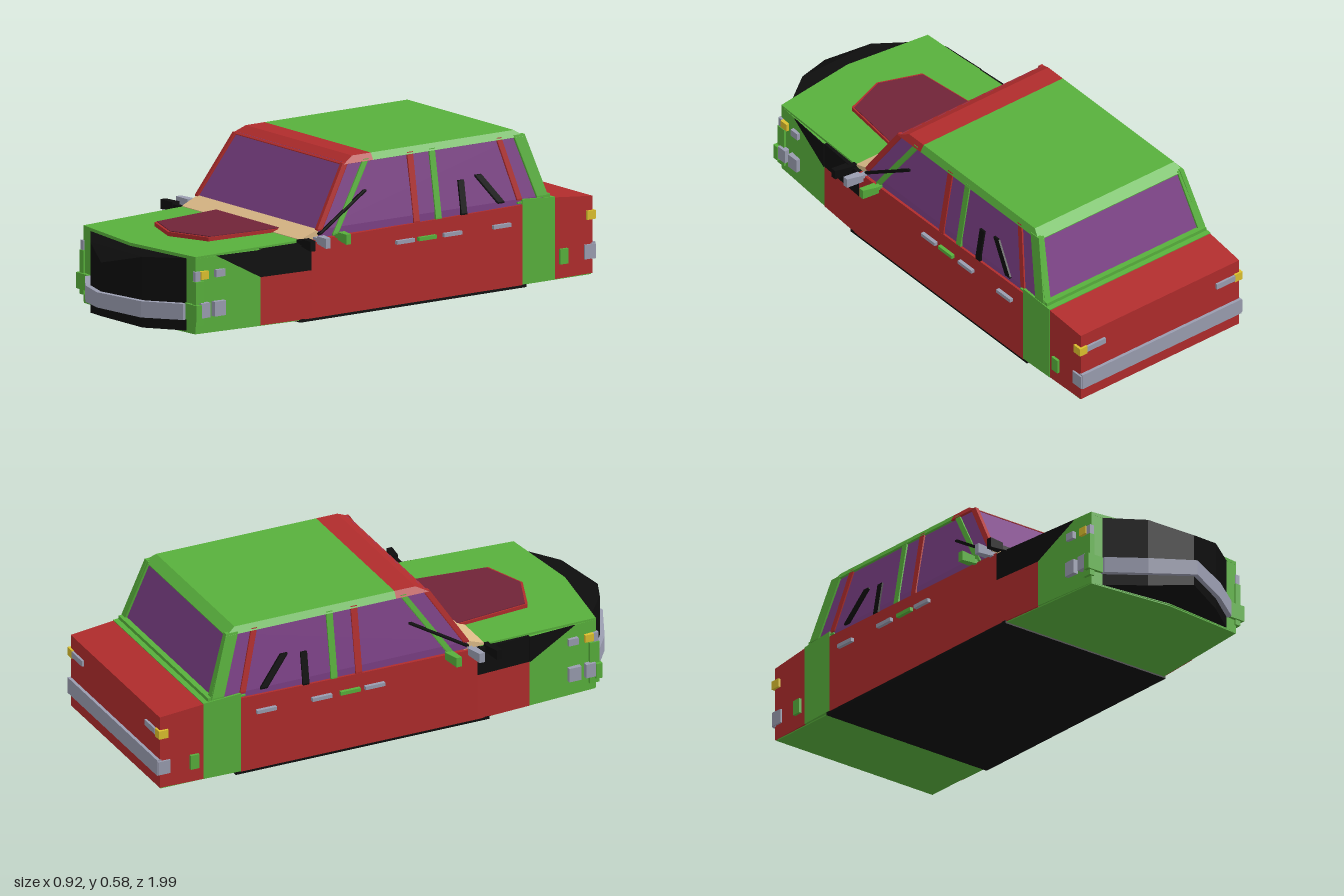
import * as THREE from 'three';
import { ConvexGeometry } from 'three/addons/geometries/ConvexGeometry.js';

const paint = (name, color) => Object.assign(new THREE.MeshStandardMaterial({ color }), { name });

export function createModel() {
  const car = new THREE.Group();
  car.name = 'car';
  const green = paint('green', 0x58b03c), red = paint('red', 0xb02c2c), black = paint('black', 0x0d0d0d);
  const purple = paint('purple glass', 0x7c4086), grey = paint('grey trim', 0x9a9db0);
  const tan = paint('tan', 0xdcba88), maroon = paint('maroon', 0x702438), yellow = paint('yellow', 0xdcc02e);

  const hull = (name, mat, pts) => {
    const m = new THREE.Mesh(new ConvexGeometry(pts.map(p => new THREE.Vector3(...p))), mat);
    m.name = name;
    car.add(m);
    return m;
  };
  const flip = pts => pts.map(([x, y, z]) => [-x, y, z]);
  // solid spanning both sides from points on the left half
  const sym = (name, mat, pts) => hull(name, mat, [...pts, ...flip(pts)]);
  // one solid on each side
  const pair = (name, mat, pts) => { hull(name, mat, pts); hull(name, mat, flip(pts)); };
  const box = (x0, x1, y0, y1, z0, z1) => {
    const pts = [];
    for (const x of [x0, x1]) for (const y of [y0, y1]) for (const z of [z0, z1]) pts.push([x, y, z]);
    return pts;
  };
  // block between two stations [z, half width, top, bottom]
  const block = (name, mat, ...stations) =>
    sym(name, mat, stations.flatMap(([z, x, top, bottom]) => [[x, top, z], [x, bottom, z]]));

  // lower body, rear to front
  block('trunk', red, [-0.985, 0.37, 0.3, 0.012], [-0.8, 0.375, 0.318, 0.012]);
  block('rearQuarter', green, [-0.81, 0.376, 0.32, 0.012], [-0.66, 0.38, 0.33, 0.012]);
  block('doors', red, [-0.66, 0.38, 0.31, 0.01], [0.3, 0.38, 0.3, 0.01]);
  block('lowerFender', red, [0.3, 0.38, 0.19, 0.01], [0.52, 0.365, 0.19, 0.01]);
  block('upperFender', black, [0.3, 0.38, 0.296, 0.19], [0.52, 0.365, 0.294, 0.19]);
  block('nose', green, [0.52, 0.365, 0.292, 0.012], [0.8, 0.342, 0.29, 0.012], [0.835, 0, 0.29, 0.012]);
  pair('fenderPatch', black, [0, 0.004].flatMap(d =>
    [[0.365 + d, 0.19, 0.52], [0.365 + d, 0.292, 0.52], [0.35 + d, 0.292, 0.71]]));
  block('hood', green, [0.32, 0.362, 0.304, 0.29], [0.8, 0.342, 0.297, 0.285], [0.842, 0, 0.297, 0.285]);

  // floor panels
  sym('middleFloor', black, box(-0.378, 0.378, 0, 0.012, -0.68, 0.35));
  sym('rearFloor', green, box(-0.368, 0.368, 0.008, 0.014, -0.98, -0.68));
  block('frontFloor', green, [0.35, 0.37, 0.014, 0.006], [0.8, 0.34, 0.014, 0.008], [0.83, 0, 0.014, 0.008]);

  // hood scoop with dark cover
  const scoop = (y0, y1, s) => [y0, y1].flatMap(y =>
    [[0.2 * s, y, 0.3], [0.165 * s, y, 0.61 - (1 - s) * 0.3], [0, y, 0.67 - (1 - s) * 0.3]]);
  sym('hoodScoop', red, scoop(0.295, 0.315, 1));
  sym('scoopCover', maroon, scoop(0.314, 0.318, 0.97));

  // cowl below the windshield
  block('cowl', tan, [0.25, 0.37, 0.34, 0.3], [0.338, 0.362, 0.306, 0.3]);

  // pointed grille
  sym('grille', black, [
    [0, 0.04, 0.975], [0, 0.24, 0.975], [0.16, 0.016, 0.905], [0.16, 0.28, 0.905],
    [0.3, 0.015, 0.8], [0.3, 0.285, 0.8], [0, 0.28, 0.84]]);

  // front bumper in angled segments
  const stops = [[0, 0.075, 0.132, 0.995], [0.17, 0.057, 0.118, 0.92], [0.3, 0.058, 0.118, 0.825]];
  for (let i = 0; i < 2; i++) {
    pair('frontBumper', grey, [stops[i], stops[i + 1]].flatMap(([x, y0, y1, z]) =>
      box(x, x, y0, y1, z - 0.03, z)));
  }
  pair('bumperEnd', green, box(0.295, 0.368, 0.06, 0.12, 0.79, 0.815));
  pair('bumperPost', green, box(0.333, 0.355, 0.04, 0.205, 0.77, 0.808));
  pair('bumperSide', grey, box(0.34, 0.368, 0.07, 0.125, 0.68, 0.73));
  pair('bumperSide', grey, box(0.34, 0.366, 0.07, 0.125, 0.75, 0.79));
  pair('frontLamp', grey, box(0.335, 0.352, 0.206, 0.242, 0.785, 0.806));
  pair('frontSideLamp', grey, box(0.34, 0.364, 0.215, 0.242, 0.68, 0.72));
  pair('frontMarker', yellow, box(0.335, 0.358, 0.212, 0.242, 0.75, 0.785));

  // rear bumper and lamps
  sym('rearBumper', grey, box(-0.372, 0.372, 0.065, 0.128, -0.997, -0.98));
  pair('rearBumperSide', grey, box(0.36, 0.378, 0.068, 0.122, -0.995, -0.945));
  pair('rearReflector', green, box(0.365, 0.384, 0.065, 0.122, -0.865, -0.83));
  pair('rearLamp', grey, box(0.26, 0.345, 0.222, 0.245, -0.994, -0.98));
  pair('rearMarker', yellow, box(0.345, 0.38, 0.215, 0.248, -0.993, -0.955));

  // cabin glass
  block('cabinGlass', purple,
    [0.262, 0.372, 0.335, 0.305], [0.115, 0.33, 0.56, 0.56], [-0.69, 0.33, 0.56, 0.56], [-0.77, 0.37, 0.33, 0.305]);

  // roof and windshield header
  const roof = (name, mat, stations) => sym(name, mat, stations.flatMap(([zTop, zEdge]) =>
    [[0.325, 0.58, zTop], [0.34, 0.555, zEdge], [0.33, 0.552, zEdge]]));
  roof('roof', green, [[-0.66, -0.7], [-0.01, -0.01]]);
  roof('roofHeader', red, [[-0.01, -0.01], [0.075, 0.124]]);

  // slanted bars lying on the cabin side, given as [z, y] ends
  const sideX = y => 0.376 - 0.17 * (y - 0.31);
  const pillar = (name, mat, a, b, w, out = 0.003) => pair(name, mat, [a, b].flatMap(([z, y]) =>
    box(sideX(y) - 0.012, sideX(y) + out, y - 0.003, y + 0.003, z - w, z + w)));
  pillar('windshieldPillar', red, [0.258, 0.335], [0.115, 0.557], 0.011);
  pillar('quarterWindowBar', green, [0.19, 0.31], [0.02, 0.56], 0.011);
  pillar('centrePillar', red, [-0.18, 0.308], [-0.18, 0.56], 0.013);
  pillar('doorPillar', green, [-0.28, 0.308], [-0.28, 0.56], 0.013);
  pillar('rearDoorBar', red, [-0.65, 0.33], [-0.585, 0.56], 0.011);
  pillar('rearPillar', green, [-0.752, 0.33], [-0.676, 0.56], 0.024, 0.005);
  pillar('windowBrace', black, [-0.395, 0.31], [-0.395, 0.43], 0.013, 0.005);
  pillar('windowBrace', black, [-0.565, 0.33], [-0.475, 0.44], 0.014, 0.005);
  pillar('wiper', black, [0.26, 0.32], [0.04, 0.45], 0.006, 0.006);
  pillar('windowSill', green, [-0.72, 0.318], [-0.66, 0.318], 0.02);

  // rear window frame
  sym('rearWindowSill', green, box(-0.372, 0.372, 0.31, 0.335, -0.79, -0.758));
  pair('rearWindowPost', green, [...box(0.345, 0.372, 0.33, 0.335, -0.777, -0.75), ...box(0.312, 0.336, 0.555, 0.56, -0.698, -0.67)]);

  // side mirrors
  for (const [z, y, mat] of [[0.345, 0.3, black], [0.275, 0.302, grey], [0.182, 0.305, green]]) {
    pair('mirrorArm', mat, box(0.36, 0.41, y - 0.008, y + 0.008, z - 0.01, z + 0.008));
    pair('mirror', mat, [...box(0.395, 0.395, y - 0.012, y + 0.016, z - 0.02, z + 0.012),
      ...box(0.458, 0.458, y - 0.02, y + 0.018, z - 0.004, z + 0.018)]);
  }

  // door handles
  for (const [z, mat] of [[-0.12, grey], [-0.22, green], [-0.335, grey], [-0.56, grey]]) {
    pair('doorHandle', mat, box(0.375, 0.394, 0.238, 0.252, z - 0.04, z + 0.04));
  }
  return car;
}
